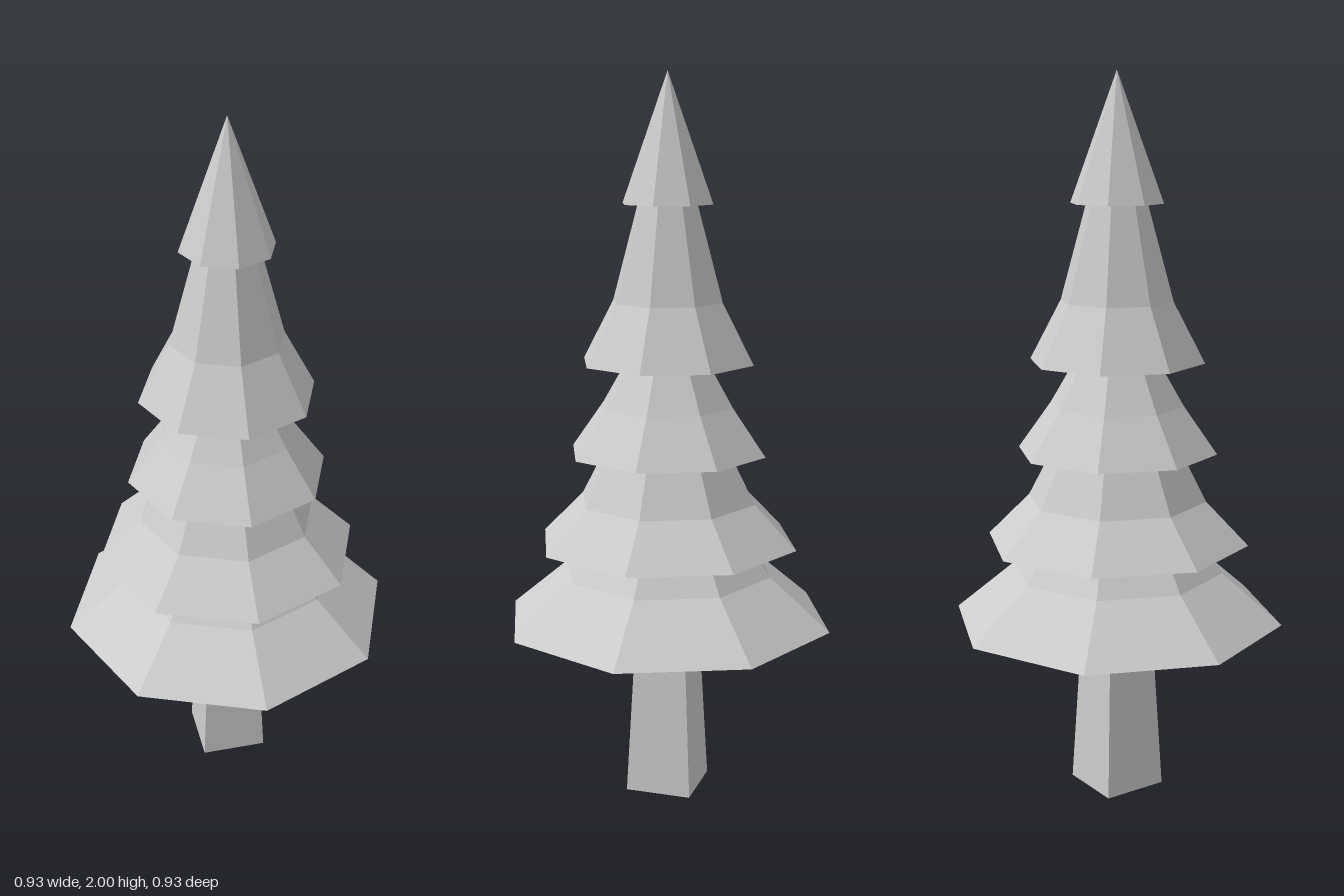
import * as THREE from 'three';

export function createModel() {
  const tree = new THREE.Group();
  tree.name = 'pineTree';
  const material = new THREE.MeshStandardMaterial({
    color: 0xcccccc, flatShading: true, side: THREE.DoubleSide,
  });

  // Square tapered trunk, open at the ends, running up inside the foliage
  const trunkHeight = 1.0;
  const trunk = new THREE.Mesh(
    new THREE.CylinderGeometry(0.047 * Math.SQRT2, 0.093 * Math.SQRT2, trunkHeight, 4, 1, true),
    material);
  trunk.geometry.rotateY(Math.PI / 4);
  trunk.position.y = trunkHeight / 2;
  trunk.name = 'trunk';
  tree.add(trunk);

  // Octagonal foliage skirts, each a [radius, height] profile from rim to tip
  const tiers = [
    [[0.465, 0.5], [0.297, 0.642], [0, 1.05]],
    [[0.368, 0.725], [0.25, 0.845], [0, 1.33]],
    [[0.278, 0.98], [0.186, 1.11], [0, 1.43]],
    [[0.242, 1.23], [0.155, 1.395], [0, 1.96]],
    [[0.127, 1.655], [0, 2]],
  ];
  tiers.forEach((profile, i) => {
    const points = profile.map(([r, y]) => new THREE.Vector2(r, y));
    const tier = new THREE.Mesh(new THREE.LatheGeometry(points, 8), material);
    tier.name = `foliageTier${i + 1}`;
    tree.add(tier);
  });

  return tree;
}
